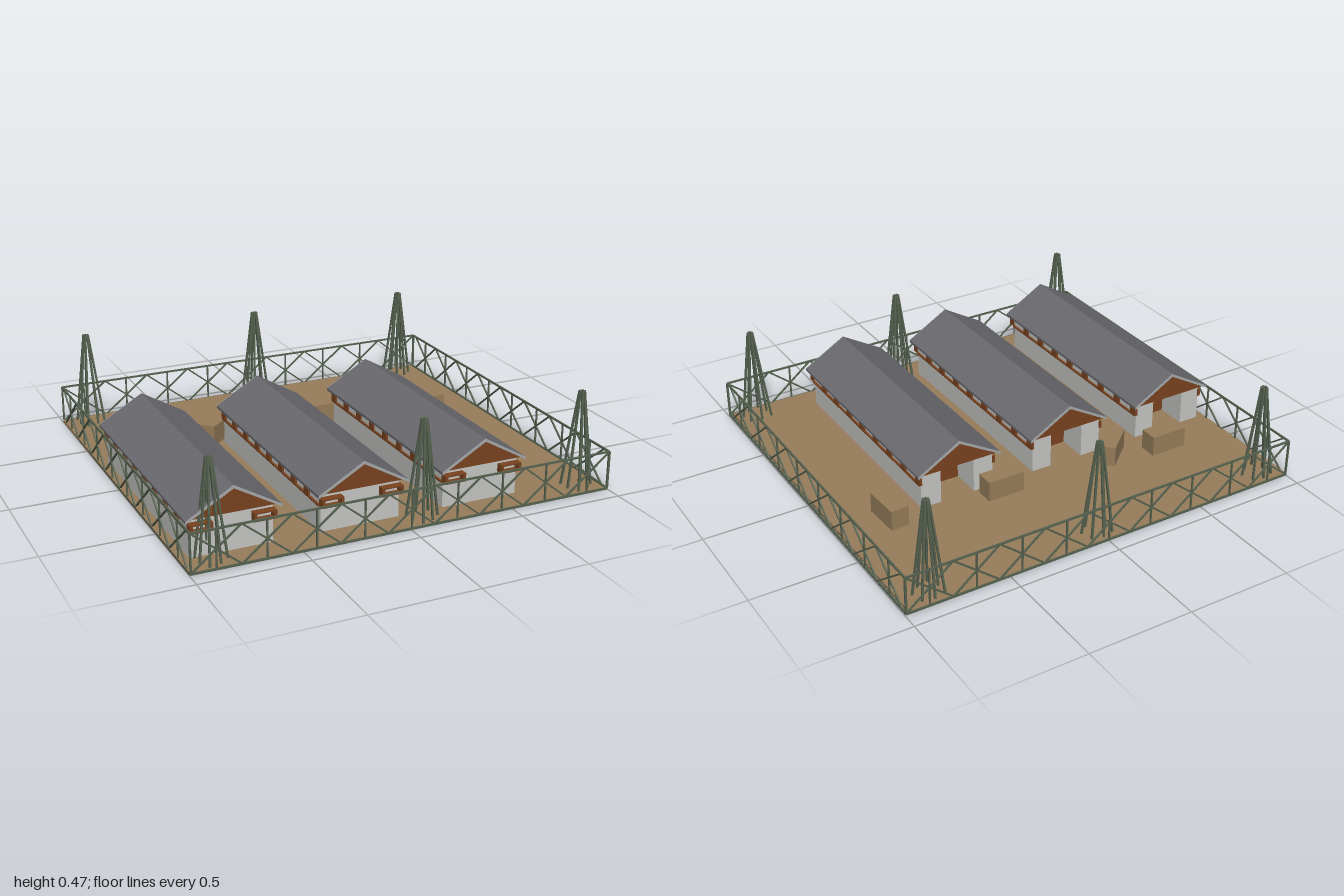
import * as THREE from 'three';

const mat = (name, color) => {
  const m = new THREE.MeshStandardMaterial({ color });
  m.name = name;
  return m;
};

export function createModel() {
  const model = new THREE.Group();
  model.name = 'compound';
  const earth = mat('earth', 0x977d5b);
  const slate = mat('roof slate', 0x69696f);
  const plaster = mat('wall plaster', 0xc5c5c3);
  const wood = mat('brown wood', 0x7a431f);
  const trim = mat('roof trim', 0xa4a9aa);
  const iron = mat('green iron', 0x566250);

  function box(parent, name, material, w, h, d, x, y, z) {
    const mesh = new THREE.Mesh(new THREE.BoxGeometry(w, h, d), material);
    mesh.name = name;
    mesh.position.set(x, y, z);
    parent.add(mesh);
    return mesh;
  }

  // Square bar between two points
  function bar(parent, name, a, b, t) {
    const p = new THREE.Vector3(...a), q = new THREE.Vector3(...b);
    const mesh = box(parent, name, iron, t, p.distanceTo(q), t, 0, 0, 0);
    mesh.position.copy(p).add(q).multiplyScalar(0.5);
    mesh.quaternion.setFromUnitVectors(new THREE.Vector3(0, 1, 0), q.sub(p).normalize());
  }

  // Profile in x and y, extruded along z from z0 to z1
  function extrude(parent, name, material, points, z0, z1) {
    const shape = new THREE.Shape(points.map(([x, y]) => new THREE.Vector2(x, y)));
    const geo = new THREE.ExtrudeGeometry(shape, { depth: z1 - z0, bevelEnabled: false });
    geo.translate(0, 0, z0);
    const mesh = new THREE.Mesh(geo, material);
    mesh.name = name;
    parent.add(mesh);
  }

  // Yard
  box(model, 'ground', earth, 1.98, 0.014, 1.84, -0.01, 0.007, 0);

  // Long hut with recessed rear doorway
  function hut(x) {
    const g = new THREE.Group();
    g.name = 'hut';
    g.position.x = x;
    model.add(g);
    const front = 0.80, back = -0.30, recess = -0.15, half = 0.185;
    box(g, 'mainWalls', plaster, half * 2, 0.18, front - recess, 0, 0.1, (front + recess) / 2);
    for (const s of [-1, 1])
      box(g, 'porchWall', plaster, 0.1, 0.18, recess - back, s * 0.135, 0.1, (back + recess) / 2);
    box(g, 'door', wood, 0.168, 0.175, 0.006, 0, 0.1, recess - 0.003);

    // Gable ends
    const gable = [[-0.195, 0.19], [0.195, 0.19], [0, 0.306]];
    extrude(g, 'frontGable', wood, gable, front - 0.005, front + 0.015);
    extrude(g, 'backGable', wood, gable, back - 0.015, back + 0.005);

    // Pitched roof and light verge edges
    const roof = [[-0.21, 0.186], [0, 0.306], [0.21, 0.186], [0.21, 0.198], [0, 0.32], [-0.21, 0.198]];
    extrude(g, 'roof', slate, roof, -0.325, 0.838);
    extrude(g, 'frontVerge', trim, roof, 0.838, 0.841);
    extrude(g, 'backVerge', trim, roof, -0.328, -0.325);

    // Window frames under the eaves
    for (const s of [-1, 1]) {
      box(g, 'sideSill', wood, 0.014, 0.008, 1.1, s * 0.188, 0.137, 0.25);
      for (let i = 0; i < 8; i++)
        box(g, 'sideShutter', wood, 0.014, 0.036, 0.042, s * 0.188, 0.154, 0.675 - i * 0.137);
      for (const y of [0.137, 0.170])
        box(g, 'frontFrameRail', wood, 0.1, 0.006, 0.035, s * 0.14, y, front + 0.017);
      for (const dx of [-0.044, 0.044])
        box(g, 'frontFramePost', wood, 0.014, 0.036, 0.035, s * 0.14 + dx, 0.154, front + 0.017);
    }
  }
  for (const x of [-0.772, -0.187, 0.398]) hut(x);

  // Crates: x, z, turn
  for (const [x, z, turn] of [[-0.652, -0.437, 0], [-0.393, -0.37, 0.72],
    [0.206, -0.367, 0], [0.738, -0.293, 1.62]])
    box(model, 'crate', earth, 0.183, 0.1, 0.088, x, 0.062, z).rotation.y = turn;

  // Fence run: full rails, crossed braces with a post at each crossing
  function fence(name, a, b, bays, start, end) {
    const g = new THREE.Group();
    g.name = name;
    model.add(g);
    const at = (t, y) => [a[0] + (b[0] - a[0]) * t, y, a[1] + (b[1] - a[1]) * t];
    const low = 0.008, high = 0.186;
    bar(g, 'topRail', at(0, high), at(1, high), 0.008);
    bar(g, 'bottomRail', at(0, low), at(1, low), 0.01);
    for (const t of [0, 1]) bar(g, 'cornerPost', at(t, low), at(t, high), 0.008);
    for (let i = 0; i < bays; i++) {
      const t0 = start + (end - start) * i / bays;
      const t1 = start + (end - start) * (i + 1) / bays;
      const mid = (t0 + t1) / 2;
      bar(g, 'post', at(mid, low), at(mid, high), 0.007);
      bar(g, 'brace', at(t0, low), at(t1, high), 0.007);
      bar(g, 'brace', at(t0, high), at(t1, low), 0.007);
    }
  }
  fence('frontFence', [-0.995, 0.921], [0.995, 0.921], 9, 0, 1);
  fence('backFence', [-0.995, -0.921], [0.995, -0.921], 9, 0, 1);
  fence('leftFence', [0.993, -0.921], [0.993, 0.921], 8, 0.018, 0.98);
  fence('rightFence', [-0.995, -0.921], [-0.995, 0.921], 8, 0.018, 0.98);

  // Slender towers of leaning legs
  function tower(x, z) {
    const g = new THREE.Group();
    g.name = 'tower';
    g.position.set(x, 0, z);
    model.add(g);
    const legs = 7;
    for (let i = 0; i < legs; i++) {
      const t = i / legs * Math.PI * 2 + 0.2;
      const r = i % 2 ? 0.056 : 0.07;
      bar(g, 'leg', [r * Math.cos(t), 0.012, r * Math.sin(t)],
        [0.011 * Math.cos(t), 0.468, 0.011 * Math.sin(t)], 0.009);
    }
  }
  for (const [x, z] of [[-0.88, -0.845], [0.015, -0.845], [0.85, -0.845],
    [-0.88, 0.845], [0.09, 0.845], [0.88, 0.845]]) tower(x, z);

  return model;
}
